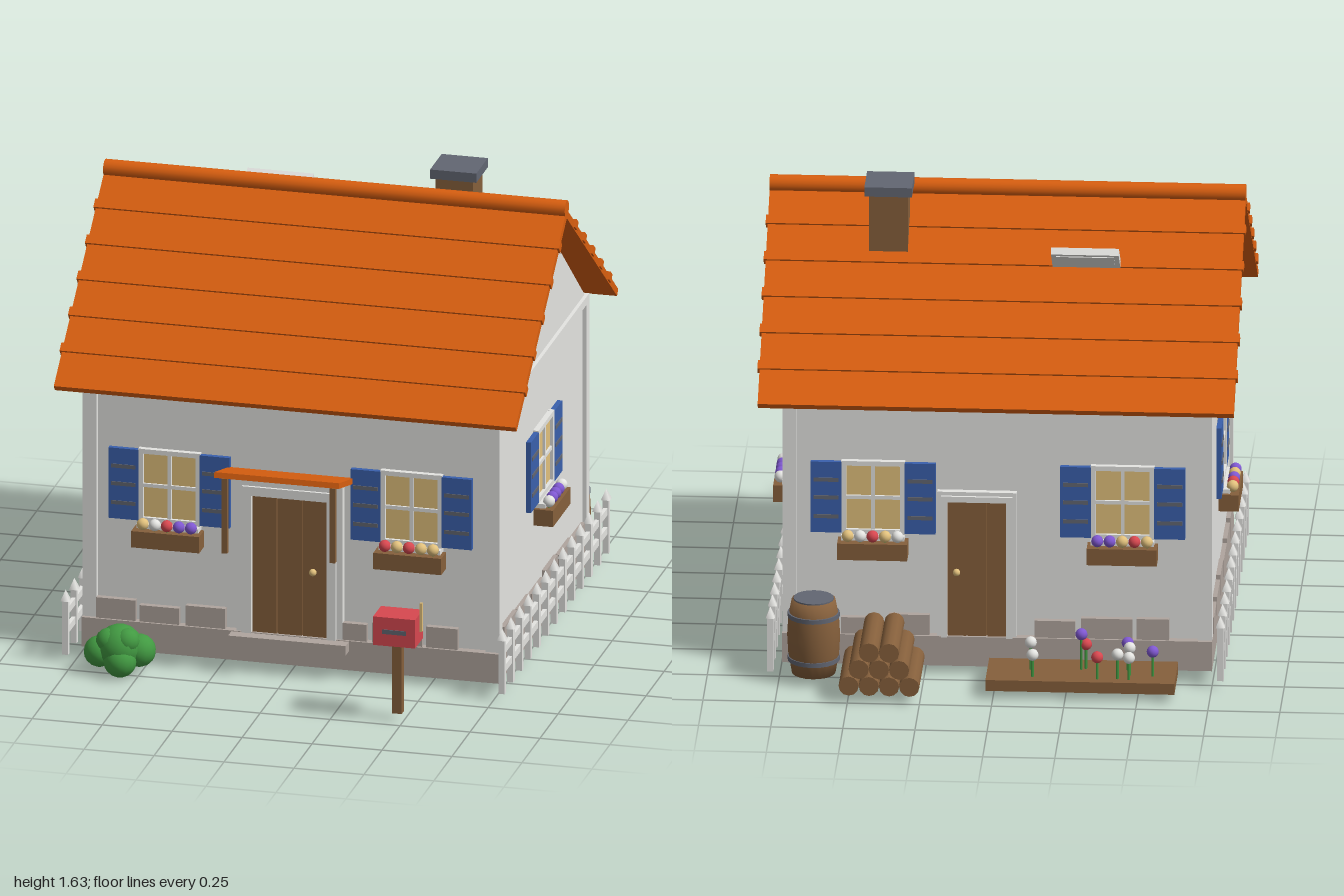
import * as THREE from 'three';

const mat = (name, color) => {
  const m = new THREE.MeshStandardMaterial({ color });
  m.name = name;
  return m;
};

export function createModel() {
  const white = mat('white', 0xe4e4e1), orange = mat('roofOrange', 0xd95f10), brown = mat('wood', 0x86603c),
    stone = mat('stone', 0xb0a59e), blue = mat('shutterBlue', 0x3a60ac), tan = mat('warmYellow', 0xe2c17d),
    green = mat('leafGreen', 0x429a42), red = mat('red', 0xd84850), purple = mat('purple', 0x8058d2),
    slate = mat('slate', 0x626672);
  const CZ = -0.05, GROUND = 0.03, HX = 0.745, HZ = 0.62;
  const house = new THREE.Group();
  house.name = 'cottage';

  const add = (parent, name, geo, m, x = 0, y = 0, z = 0) => {
    const o = new THREE.Mesh(geo, m);
    o.name = name;
    o.position.set(x, y, z);
    parent.add(o);
    return o;
  };
  const box = (p, name, m, w, h, d, x, y, z) => add(p, name, new THREE.BoxGeometry(w, h, d), m, x, y, z);
  const ball = (p, name, m, r, x, y, z) => add(p, name, new THREE.SphereGeometry(r, 14, 10), m, x, y, z);
  const cyl = (p, name, m, r, h, x, y, z, n = 16) => add(p, name, new THREE.CylinderGeometry(r, r, h, n), m, x, y, z);
  const group = (name, x, y, z, ry = 0, parent = house) => {
    const g = new THREE.Group();
    g.name = name;
    g.position.set(x, y, z);
    g.rotation.y = ry;
    parent.add(g);
    return g;
  };

  // Foundation, walls with gables, corner posts and top beams
  box(house, 'foundation', stone, HX * 2, 0.108, HZ * 2 + 0.03, 0, 0.084, CZ);
  const gable = new THREE.Shape([[-0.605, 0.13], [0.605, 0.13], [0.605, 1.02], [0, 1.525], [-0.605, 1.02]]
    .map(([a, b]) => new THREE.Vector2(a, b)));
  const walls = add(house, 'walls', new THREE.ExtrudeGeometry(gable, { depth: 1.464, bevelEnabled: false }), white, -0.732, 0, CZ);
  walls.rotation.y = Math.PI / 2;
  for (const sx of [-1, 1]) {
    for (const sz of [-1, 1])
      box(house, 'cornerPost', white, 0.05, 0.88, 0.04, sx * (HX - 0.025), 0.578, CZ + sz * (HZ - 0.02));
    box(house, 'sideBeam', white, 0.03, 0.03, HZ * 2, sx * (HX - 0.015), 1.005, CZ);
    box(house, 'eaveBeam', white, HX * 2, 0.03, 0.02, 0, 1.005, CZ + sx * (HZ - 0.01));
  }

  // Stones along the foot of each wall
  const stones = [[-0.625, 0.14, 0.075], [-0.47, 0.142, 0.06], [-0.305, 0.142, 0.074],
    [0.2, 0.142, 0.062], [0.38, 0.178, 0.074], [0.54, 0.112, 0.076]];
  for (const s of [1, -1])
    for (const [x, w, h] of stones)
      box(house, 'wallStone', stone, w, h, 0.03, s * x, 0.138 + h / 2, CZ + s * 0.612);
  for (const s of [1, -1])
    for (let i = 0; i < 6; i++) {
      const h = 0.06 + (i % 3) * 0.008;
      box(house, 'wallStone', stone, 0.025, h, 0.16 + (i % 2) * 0.015, s * 0.735, 0.138 + h / 2, CZ - 0.475 + i * 0.19);
    }
  box(house, 'doorStep', stone, 0.42, 0.035, 0.07, 0, 0.118, 0.595);

  // Roof slopes with raised tile courses, and the ridge
  for (const [i, ry] of [0, Math.PI].entries()) {
    const side = group(i ? 'backRoof' : 'frontRoof', 0, 1.55, CZ, ry);
    const slope = group('slope', 0, 0, 0, 0, side);
    slope.rotation.x = Math.atan2(0.545, 0.705);
    box(slope, 'roofPanel', orange, 1.65, 0.026, 0.893, 0, -0.005, 0.446);
    for (let k = 0; k < 5; k++)
      box(slope, 'tileCourse', orange, 1.664, 0.03, 0.034, 0, 0.001, 0.143 + k * 0.148);
  }
  cyl(house, 'ridge', orange, 0.03, 1.65, 0, 1.562, CZ).rotation.z = Math.PI / 2;

  // Chimney and open roof hatch
  box(house, 'chimney', brown, 0.135, 0.27, 0.132, 0.402, 1.472, -0.195);
  box(house, 'chimneyCap', slate, 0.165, 0.034, 0.16, 0.402, 1.62, -0.195);
  const hatch = group('roofHatch', -0.288, 1.423, -0.352);
  hatch.rotation.x = 0.68;
  box(hatch, 'hatchFrame', white, 0.235, 0.026, 0.134, 0, 0, 0);
  box(hatch, 'hatchPane', white, 0.2, 0.032, 0.1, 0, 0, 0);

  // Window with shutters and planter; local +z points out of the wall
  const makeWindow = (x, z, ry, colours) => {
    const g = group('window', x, 0.64, z, ry);
    box(g, 'pane', tan, 0.2, 0.25, 0.008, 0, -0.003, 0.004);
    for (const s of [-1, 1]) {
      box(g, 'frameSide', white, 0.017, 0.27, 0.022, s * 0.102, 0, 0.009);
      box(g, 'frameRail', white, 0.22, 0.017, 0.022, 0, s * 0.126, 0.009);
      box(g, 'shutter', blue, 0.107, 0.26, 0.018, s * 0.163, 0, 0.012);
      for (const y of [0.065, 0, -0.07])
        box(g, 'shutterSlat', slate, 0.088, 0.014, 0.008, s * 0.163, y, 0.02);
    }
    box(g, 'mullion', white, 0.013, 0.25, 0.016, 0, 0, 0.008);
    box(g, 'transom', white, 0.2, 0.013, 0.016, 0, 0, 0.008);
    box(g, 'sill', white, 0.22, 0.016, 0.045, 0, -0.142, 0.022);
    box(g, 'planter', brown, 0.243, 0.06, 0.07, 0, -0.181, 0.04);
    colours.forEach((c, i) => {
      const fx = (i - 2) * 0.043;
      cyl(g, 'stem', green, 0.005, 0.04, fx, -0.145, 0.052, 6);
      ball(g, 'blossom', c, 0.021, fx, -0.13, 0.052);
    });
  };
  const zf = CZ + 0.605, zb = CZ - 0.605;
  makeWindow(-0.435, zf, 0, [tan, white, red, purple, purple]);
  makeWindow(0.43, zf, 0, [red, tan, red, tan, tan]);
  makeWindow(0.43, zb, Math.PI, [tan, white, red, tan, white]);
  makeWindow(-0.435, zb, Math.PI, [purple, purple, tan, red, tan]);
  makeWindow(0.732, CZ, Math.PI / 2, [white, purple, purple, purple, white]);
  makeWindow(-0.732, CZ, -Math.PI / 2, [tan, red, purple, tan, purple]);

  // Plank door in a stepped frame
  const makeDoor = (name, x, z, ry, w, h, fw, knobX) => {
    const g = group(name, x, 0.135, z, ry);
    for (let i = -1; i <= 1; i++)
      box(g, 'doorPlank', brown, w / 3 - 0.004, h, 0.018, i * w / 3, h / 2, 0.011);
    box(g, 'doorBack', brown, w, h, 0.008, 0, h / 2, 0.006);
    for (const [t, d] of [[fw, 0.024], [fw * 0.6, 0.034]]) {
      for (const s of [-1, 1])
        box(g, 'doorJamb', white, t, h + t, d, s * (w + t) / 2, (h + t) / 2, d / 2);
      box(g, 'doorLintel', white, w, t, d, 0, h + t / 2, d / 2);
    }
    ball(g, 'doorKnob', tan, 0.013, knobX, h * 0.48, 0.03);
  };
  makeDoor('frontDoor', -0.004, zf, 0, 0.27, 0.508, 0.055, 0.085);
  makeDoor('backDoor', 0.07, zb, Math.PI, 0.205, 0.5, 0.035, -0.07);

  // Door canopy and its hanging posts
  const canopy = box(house, 'canopy', orange, 0.446, 0.02, 0.21, -0.002, 0.749, 0.664);
  canopy.rotation.x = -0.26;
  for (const s of [-1, 1])
    box(house, 'canopyPost', brown, 0.02, 0.275, 0.02, s * 0.193, 0.62, 0.738);

  // Picket fences along both sides
  for (const s of [-1, 1]) {
    const f = group('fence', s * 0.78, 0, CZ);
    for (let i = 0; i < 13; i++) {
      const z = (i - 6) * 0.12;
      box(f, 'picket', white, 0.022, 0.2, 0.022, 0, GROUND + 0.1, z);
      const tip = add(f, 'picketTip', new THREE.ConeGeometry(0.022, 0.04, 4), white, 0, 0.247, z);
      tip.rotation.y = Math.PI / 4;
    }
    for (const y of [0.185, 0.115])
      box(f, 'fenceRail', white, 0.014, 0.026, 1.46, 0, y, 0);
  }

  // Bush
  const bush = group('bush', -0.57, 0, 0.735);
  for (const [x, y, z, r] of [[0, 0.1, 0, 0.08], [-0.07, 0.08, 0.01, 0.055], [0.065, 0.085, -0.02, 0.058],
    [0.01, 0.06, 0.035, 0.058], [-0.02, 0.065, -0.05, 0.055], [0.03, 0.13, 0.02, 0.045], [-0.035, 0.125, 0.02, 0.045]])
    ball(bush, 'leaves', green, r, x, y, z);

  // Mailbox
  const post = group('mailbox', 0.478, 0, 0.943);
  box(post, 'mailboxPost', brown, 0.035, 0.28, 0.034, 0, 0.17, 0);
  box(post, 'mailboxBody', red, 0.15, 0.105, 0.108, 0, 0.343, 0);
  box(post, 'mailSlot', slate, 0.085, 0.016, 0.006, 0, 0.343, 0.054);
  box(post, 'mailFlag', tan, 0.008, 0.105, 0.012, 0.083, 0.388, 0);

  // Barrel with hoops
  const barrel = group('barrel', 0.63, GROUND, -0.772);
  const profile = [[0, 0], [0.076, 0], [0.088, 0.07], [0.092, 0.137], [0.088, 0.205], [0.076, 0.27], [0, 0.27]]
    .map(([r, y]) => new THREE.Vector2(r, y));
  add(barrel, 'staves', new THREE.LatheGeometry(profile, 20), brown);
  cyl(barrel, 'barrelLid', slate, 0.07, 0.006, 0, 0.272, 0, 20);
  for (const y of [0.055, 0.215]) cyl(barrel, 'hoop', slate, 0.0905, 0.016, 0, y, 0, 20);

  // Log pile
  [4, 3, 2].forEach((n, row) => {
    for (let i = 0; i < n; i++)
      cyl(house, 'log', brown, 0.035, 0.31, 0.39 + (i - (n - 1) / 2) * 0.07, 0.065 + row * 0.062, -0.845, 12).rotation.x = Math.PI / 2;
  });

  // Flower bed behind the house
  box(house, 'flowerBed', brown, 0.655, 0.04, 0.22, -0.302, 0.05, -0.815);
  for (const [x, z, h, c] of [[-0.55, -0.85, 0.09, purple], [-0.47, -0.89, 0.08, white], [-0.47, -0.845, 0.1, white],
    [-0.43, -0.885, 0.09, white], [-0.46, -0.795, 0.1, purple], [-0.36, -0.89, 0.08, red], [-0.315, -0.79, 0.09, red],
    [-0.3, -0.8, 0.13, purple], [-0.135, -0.88, 0.08, white], [-0.125, -0.81, 0.1, white]]) {
    cyl(house, 'flowerStem', green, 0.005, h, x, 0.07 + h / 2, z, 6);
    ball(house, 'flowerHead', c, 0.021, x, 0.07 + h, z);
  }
  return house;
}
